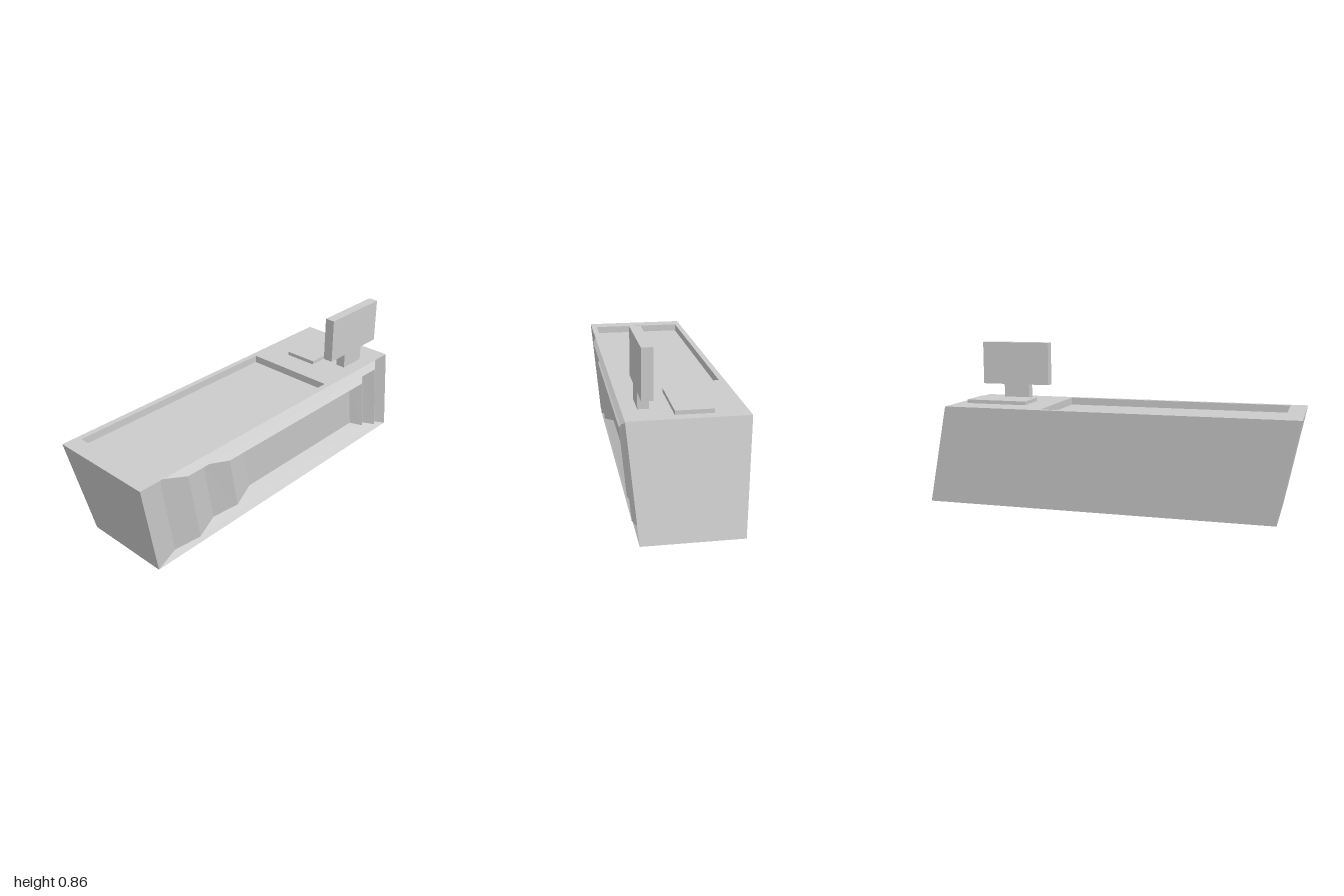
import * as THREE from 'three';

const mat = () => new THREE.MeshStandardMaterial({ color: 0xcccccc, flatShading: true });

// Joins four-cornered rings with quads (counter-clockwise seen from the last ring) and caps the last one.
function loft(rings, { capStart = false, skip = () => false } = {}) {
  const pos = [];
  const quad = (a, b, c, d) => pos.push(...a, ...b, ...c, ...a, ...c, ...d);
  for (let r = 0; r + 1 < rings.length; r++) {
    const [p, q] = [rings[r], rings[r + 1]];
    for (let i = 0; i < 4; i++) {
      const j = (i + 1) % 4;
      if (!skip(r, i)) quad(p[i], p[j], q[j], q[i]);
    }
  }
  quad(...rings[rings.length - 1]);
  if (capStart) quad(...[...rings[0]].reverse());
  const geo = new THREE.BufferGeometry();
  geo.setAttribute('position', new THREE.Float32BufferAttribute(pos, 3));
  geo.computeVertexNormals();
  return geo;
}

// Horizontal rectangle, counter-clockwise from above
const rect = (x0, x1, y, z0, z1) => [[x0, y, z1], [x1, y, z1], [x1, y, z0], [x0, y, z0]];

export function createModel() {
  const group = new THREE.Group();
  const add = (name, geo) => {
    const mesh = new THREE.Mesh(geo, mat());
    mesh.name = name;
    group.add(mesh);
  };
  const addBox = (name, x0, x1, y0, y1, z0, z1) => {
    const geo = new THREE.BoxGeometry(x1 - x0, y1 - y0, z1 - z0);
    geo.translate((x0 + x1) / 2, (y0 + y1) / 2, (z0 + z1) / 2);
    add(name, geo);
  };

  // Leaning counter body with a sunken tray in its top; the +x wall is left open
  const bottom = rect(-0.245, 0.238, 0, -1, 0.89);
  const top = rect(-0.29, 0.282, 0.54, -0.875, 1);
  add('counterBody', loft([
    bottom, top,
    rect(-0.26, 0.25, 0.54, -0.34, 0.91),
    rect(-0.26, 0.25, 0.5, -0.34, 0.91),
  ], { capStart: true, skip: (r, i) => r === 0 && i === 1 }));

  // Ridged side panel: nested frames stepping alternately in and out
  const faceX = (y) => 0.238 + (0.044 * y) / 0.54;
  const lows = [0, 0.028, 0.057, 0.085, 0.113, 0.146];
  const highs = [0.54, 0.52, 0.486, 0.459, 0.435, 0.4];
  const depths = [0, -0.03, 0.012, -0.03, 0.012, -0.03];
  const mix = THREE.MathUtils.lerp;
  add('ridgedSidePanel', loft(depths.map((d, k) => {
    const t = k / 5, lo = lows[k], hi = highs[k];
    return [
      [faceX(lo) + d, lo, mix(0.89, 0.23, t)],
      [faceX(lo) + d, lo, mix(-1, -0.65, t)],
      [faceX(hi) + d, hi, mix(-0.875, -0.59, t)],
      [faceX(hi) + d, hi, mix(1, 0.3, t)],
    ];
  })));

  // Fittings on the rear of the counter top
  addBox('counterPad', -0.13, 0.053, 0.54, 0.56, -0.82, -0.48);
  addBox('screenPost', 0.153, 0.207, 0.54, 0.62, -0.72, -0.57);
  addBox('screen', 0.153, 0.207, 0.62, 0.862, -0.85, -0.45);

  return group;
}
